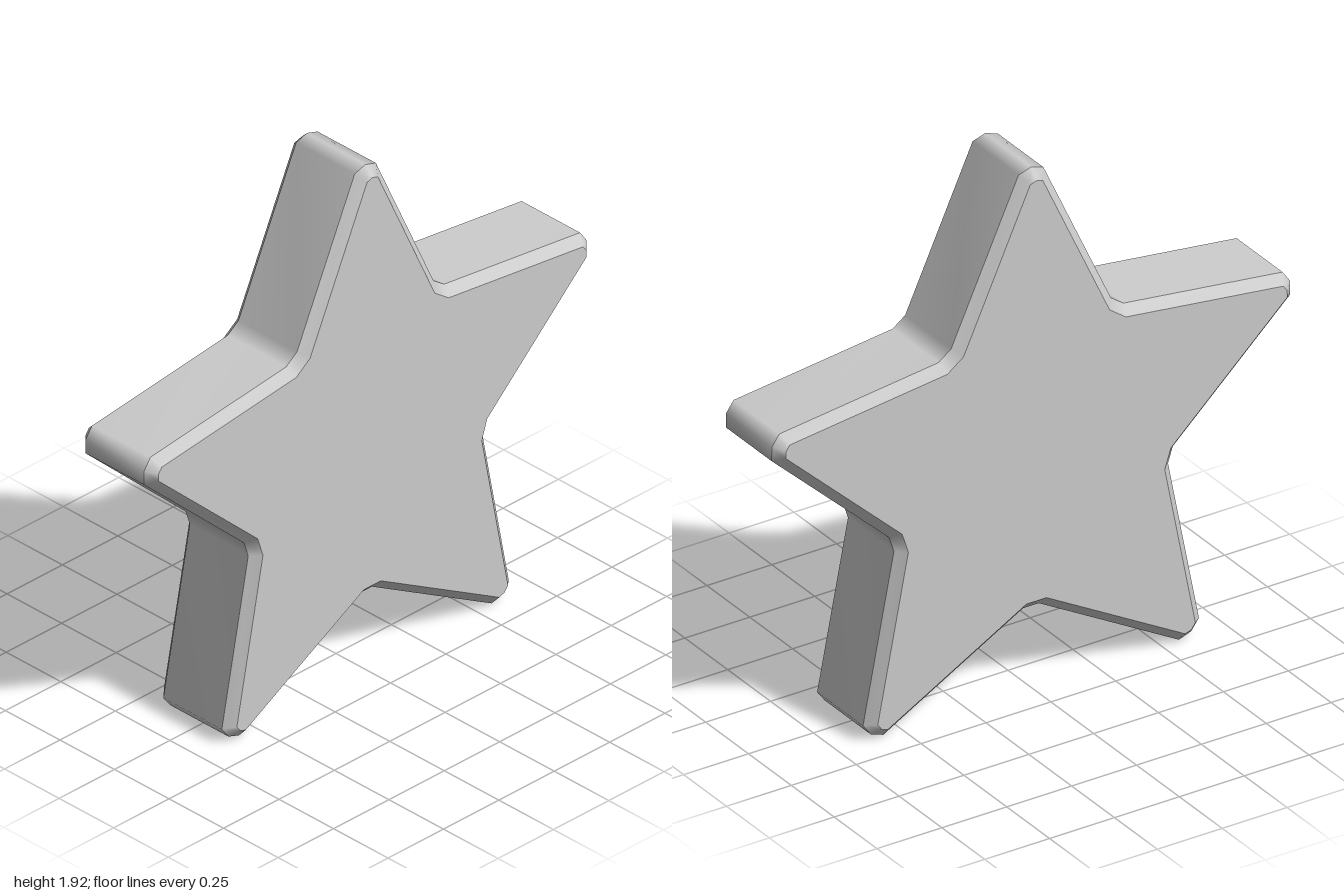
import * as THREE from 'three';

const CENTRE_Y = 0.867, HALF_DEPTH = 0.167, BEVEL = 0.033;

// Star outline, counter-clockwise: three points per blunted tip, two per valley
function starOutline() {
  const points = [];
  const add = (angle, radius, side) => points.push(
    new THREE.Vector2(radius, side).rotateAround(new THREE.Vector2(), angle));
  for (let i = 0; i < 5; i++) {
    const tip = Math.PI / 2 + i * Math.PI * 2 / 5, valley = tip + Math.PI / 5;
    add(tip, 1.035, -0.048);
    add(tip, 1.05, 0);
    add(tip, 1.035, 0.048);
    add(valley, 0.565, -0.03);
    add(valley, 0.565, 0.03);
  }
  return points;
}

// Moves every edge inwards by the same distance
function inset(points, distance) {
  const n = points.length;
  const normal = (a, b) => new THREE.Vector2(a.y - b.y, b.x - a.x).normalize();
  return points.map((p, i) => {
    const n1 = normal(points[(i + n - 1) % n], p), n2 = normal(p, points[(i + 1) % n]);
    return p.clone().addScaledVector(n1.clone().add(n2), distance / (1 + n1.dot(n2)));
  });
}

// Smooth strip joining a rear loop to a front loop
function band(rear, zRear, front, zFront) {
  const n = rear.length, positions = [], index = [];
  rear.forEach(p => positions.push(p.x, p.y, zRear));
  front.forEach(p => positions.push(p.x, p.y, zFront));
  for (let i = 0; i < n; i++) {
    const j = (i + 1) % n;
    index.push(i, j, n + j, i, n + j, n + i);
  }
  const geometry = new THREE.BufferGeometry();
  geometry.setAttribute('position', new THREE.Float32BufferAttribute(positions, 3));
  geometry.setIndex(index);
  geometry.computeVertexNormals();
  return geometry;
}

export function createModel() {
  const group = new THREE.Group();
  group.name = 'star';
  const material = new THREE.MeshStandardMaterial({ color: 0xcccccc });
  const add = (name, geometry) => {
    const mesh = new THREE.Mesh(geometry, material);
    mesh.name = name;
    mesh.position.y = CENTRE_Y;
    group.add(mesh);
  };

  const outer = starOutline(), inner = inset(outer, BEVEL);
  const wallZ = HALF_DEPTH - BEVEL;

  // Rim: straight wall with a chamfer on each side
  add('sideWall', band(outer, -wallZ, outer, wallZ));
  add('frontBevel', band(outer, wallZ, inner, HALF_DEPTH));
  add('backBevel', band(inner, -HALF_DEPTH, outer, -wallZ));

  // Flat faces
  const face = new THREE.ShapeGeometry(new THREE.Shape(inner));
  add('frontFace', face.clone().translate(0, 0, HALF_DEPTH));
  add('backFace', face.clone().translate(0, 0, HALF_DEPTH).rotateY(Math.PI));
  return group;
}
